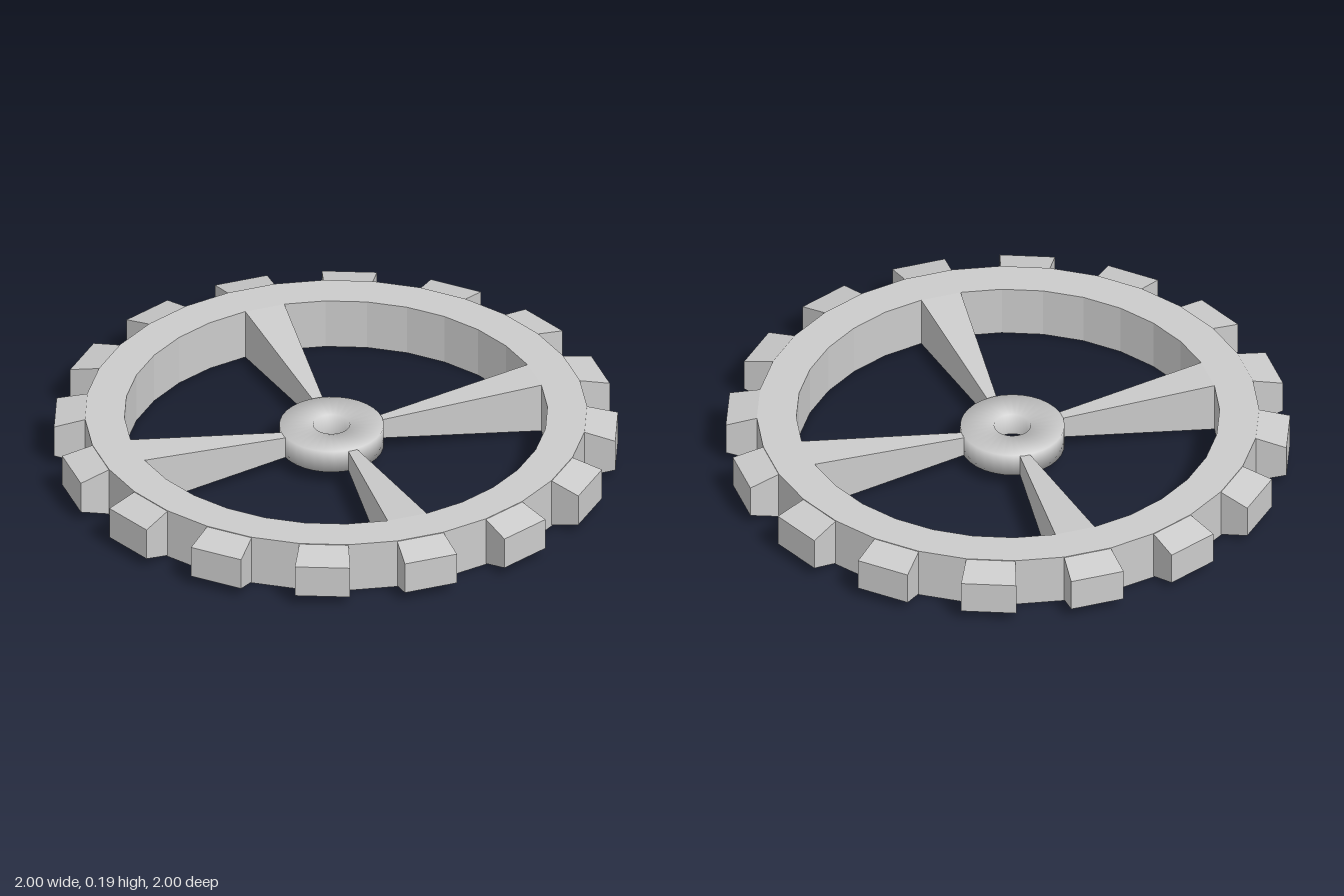
import * as THREE from 'three';

const SEGMENTS = 32;
const STEP = (Math.PI * 2) / SEGMENTS;
const HEIGHT = 0.19;
const RIM_IN = 0.75, RIM_OUT = 0.89;

const material = new THREE.MeshStandardMaterial({ color: 0xcccccc, flatShading: true });
const smooth = new THREE.MeshStandardMaterial({ color: 0xcccccc });

// Rectangular-section ring turned around y
function ring(inner, outer, y0, y1) {
  const profile = [[inner, y0], [outer, y0], [outer, y1], [inner, y1], [inner, y0]];
  return new THREE.LatheGeometry(profile.map(([r, y]) => new THREE.Vector2(r, y)), SEGMENTS);
}

// One-segment radial wedge whose bottom and top heights differ at its two ends
function wedge(inner, outer, innerY, outerY) {
  const geometry = new THREE.BoxGeometry(1, 1, 1);
  const p = geometry.attributes.position;
  for (let i = 0; i < p.count; i++) {
    const r = p.getX(i) > 0 ? outer : inner;
    const y = (p.getX(i) > 0 ? outerY : innerY)[p.getY(i) > 0 ? 1 : 0];
    const a = p.getZ(i) > 0 ? 0 : -STEP;
    p.setXYZ(i, r * Math.cos(a), y, r * Math.sin(a));
  }
  geometry.computeVertexNormals();
  return geometry;
}

// Evenly spaced copies around the axle
function around(name, geometry, count) {
  const group = new THREE.Group();
  group.name = name + 's';
  for (let i = 0; i < count; i++) {
    const mesh = new THREE.Mesh(geometry, material);
    mesh.name = name;
    mesh.rotation.y = (i * Math.PI * 2) / count;
    group.add(mesh);
  }
  return group;
}

export function createModel() {
  const wheel = new THREE.Group();
  wheel.name = 'gearWheel';

  // Faceted outer rim
  const rim = new THREE.Mesh(ring(RIM_IN, RIM_OUT, 0, HEIGHT), material);
  rim.name = 'rim';

  // Thin hub with a round axle hole, set between the rim faces
  const hub = new THREE.Mesh(ring(0.065, 0.185, 0.055, 0.14), smooth);
  hub.name = 'hub';
  hub.position.set(-0.015, 0, -0.005);

  // Teeth on every other rim segment, chamfered above and below
  const teeth = around('tooth', wedge(RIM_OUT - 0.01, 1, [0, HEIGHT], [0.04, 0.16]), SEGMENTS / 2);
  teeth.name = 'teeth';

  // Spokes flaring in width and height from hub to rim
  const spokes = around('spoke', wedge(0.15, RIM_IN, [0.06, 0.132], [0, HEIGHT]), 4);

  wheel.add(rim, hub, teeth, spokes);
  return wheel;
}
